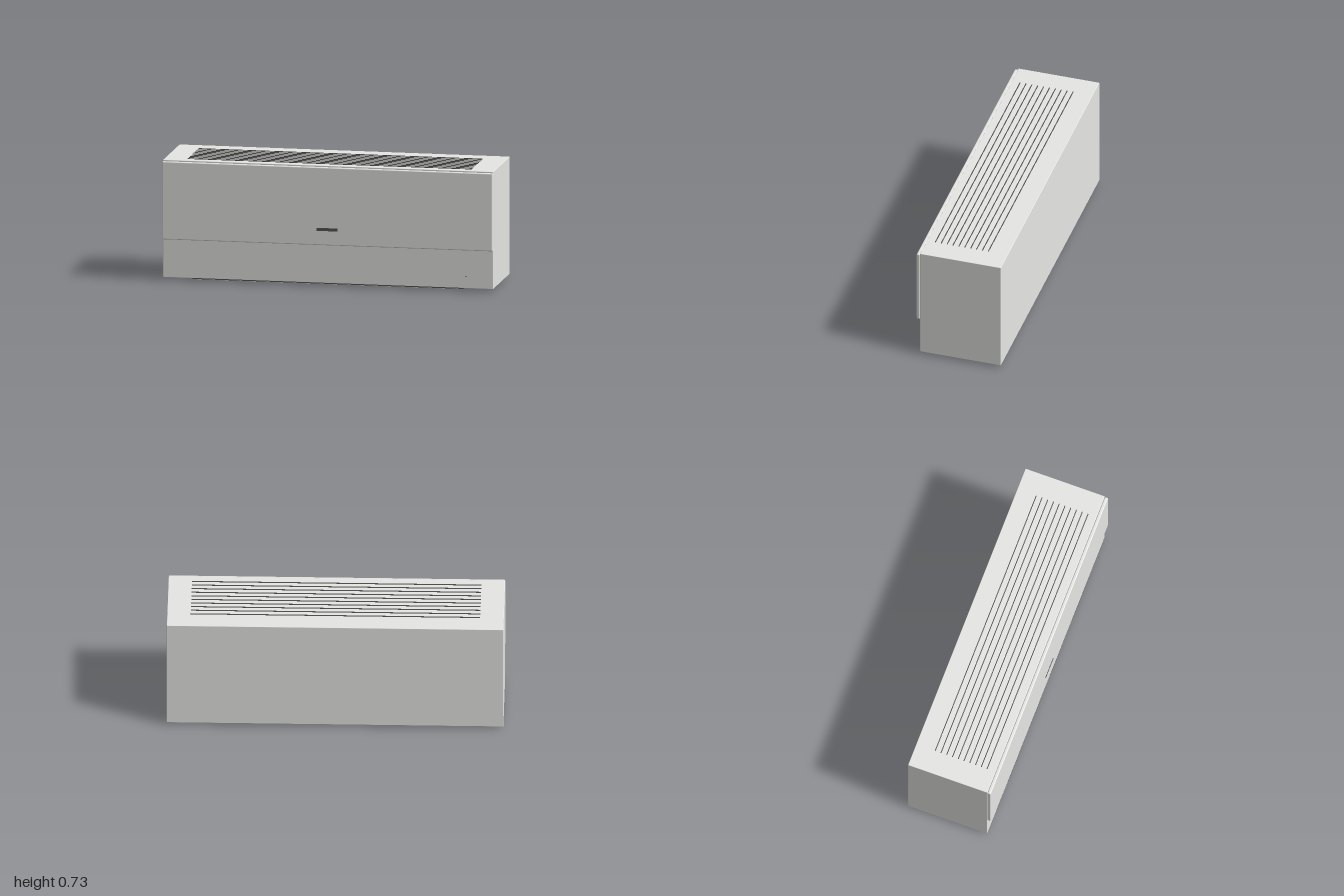
import * as THREE from 'three';
import { RoundedBoxGeometry } from 'three/addons/geometries/RoundedBoxGeometry.js';

const shell = new THREE.MeshStandardMaterial({ name: 'warm white shell', color: 0xf0f0ee });
const dark = new THREE.MeshStandardMaterial({ name: 'dark grey trim', color: 0x555555 });

export function createModel() {
  const model = new THREE.Group();
  model.name = 'wallAirConditioner';

  // Box given by its size and centre; a radius rounds its edges
  const box = (name, material, [w, h, d], [x, y, z], radius = 0) => {
    const geometry = radius
      ? new RoundedBoxGeometry(w, h, d, 3, radius)
      : new THREE.BoxGeometry(w, h, d);
    const mesh = new THREE.Mesh(geometry, material);
    mesh.name = name;
    mesh.position.set(x, y, z);
    model.add(mesh);
    return mesh;
  };

  // Casing and raised front cover
  box('casing', shell, [2, 0.71, 0.502], [0, 0.375, -0.011], 0.003);
  box('frontPanel', shell, [2, 0.47, 0.021], [0, 0.4875, 0.2515], 0.006);

  // Intake slats across the top
  for (let i = 0; i < 10; i++) {
    box('intakeSlat', dark, [1.72, 0.006, 0.005], [0, 0.731, 0.187 - i * 0.0365]);
  }

  // Air outlet underneath, with its tilted louver
  box('airOutlet', dark, [1.64, 0.006, 0.22], [0, 0.019, 0.13]);
  const louver = box('louver', shell, [1.6, 0.009, 0.028], [0, 0.0085, 0.194], 0.002);
  louver.rotation.x = -0.28;

  // Name plate and indicator light on the front
  box('namePlate', dark, [0.127, 0.018, 0.004], [-0.001, 0.348, 0.262]);
  const light = new THREE.Mesh(new THREE.CylinderGeometry(0.003, 0.003, 0.003, 16), dark);
  light.name = 'indicatorLight';
  light.rotation.x = Math.PI / 2;
  light.position.set(0.84, 0.096, 0.262);
  model.add(light);

  return model;
}
